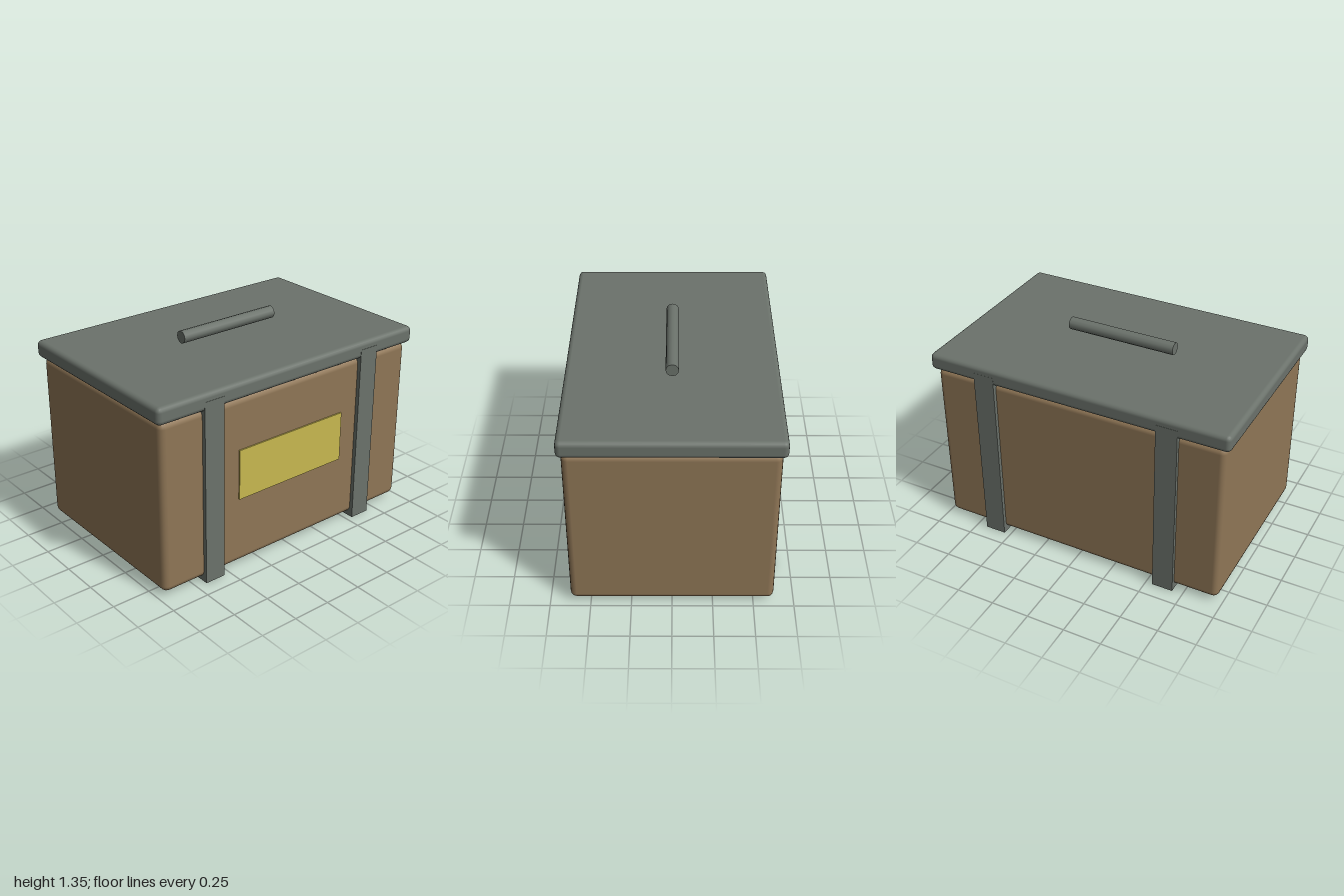
import * as THREE from 'three';
import { RoundedBoxGeometry } from 'three/addons/geometries/RoundedBoxGeometry.js';

export function createModel() {
  const model = new THREE.Group();
  model.name = 'strappedCrate';

  const material = (name, color) => {
    const m = new THREE.MeshStandardMaterial({ color });
    m.name = name;
    return m;
  };
  const brown = material('brown', 0x8f7656);
  const steel = material('greySteel', 0x6b726b);
  const yellow = material('yellow', 0xc8b850);

  const add = (name, geometry, mat, x, y, z) => {
    const mesh = new THREE.Mesh(geometry, mat);
    mesh.name = name;
    mesh.position.set(x, y, z);
    model.add(mesh);
    return mesh;
  };

  // Body and lid, both with softened edges
  add('body', new RoundedBoxGeometry(1.94, 1.11, 1.25, 2, 0.04), brown, 0, 0.585, 0);
  add('lid', new RoundedBoxGeometry(2, 0.11, 1.3, 2, 0.03), steel, 0, 1.195, 0);

  // Straps wrapping the body from the base up into the lid
  for (const [name, x] of [['leftStrap', 0.612], ['rightStrap', -0.612]]) {
    add(name, new THREE.BoxGeometry(0.138, 1.2, 1.302), steel, x, 0.6, 0);
  }

  // Label plate on the front
  add('labelPlate', new THREE.BoxGeometry(0.826, 0.33, 0.009), yellow, 0, 0.64, 0.6295);

  // Round bar handle held just above the lid
  const handle = add('handle', new THREE.CylinderGeometry(0.04, 0.04, 0.72, 12), steel, 0, 1.31, 0);
  handle.rotation.z = Math.PI / 2;

  return model;
}
